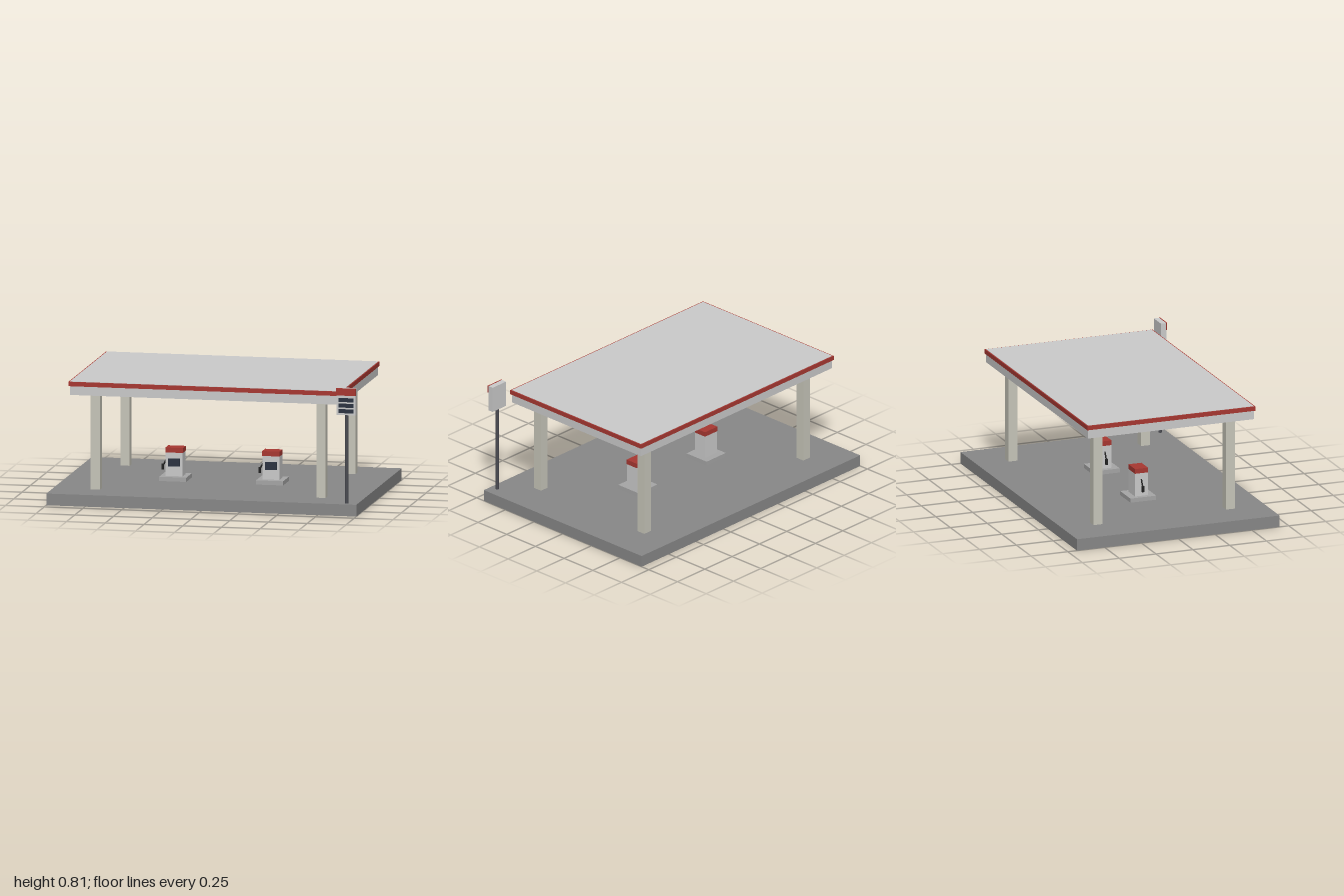
import * as THREE from 'three';

const mat = (color) => new THREE.MeshStandardMaterial({ color });
const mats = {
  light: mat(0xcccccc),
  column: mat(0xc8c6ba),
  slab: mat(0x888888),
  curb: mat(0xa6a6a6),
  body: mat(0xbcbcbc),
  red: mat(0xa83832),
  dark: mat(0x2c3442),
  pole: mat(0x4a4b52),
  rubber: mat(0x222222),
  lamp: mat(0xe4dca4),
};

// Box given its width, depth, bottom and top heights, and centre in plan
function box(parent, name, material, w, d, y0, y1, x = 0, z = 0) {
  const mesh = new THREE.Mesh(new THREE.BoxGeometry(w, y1 - y0, d), material);
  mesh.position.set(x, (y0 + y1) / 2, z);
  mesh.name = name;
  parent.add(mesh);
  return mesh;
}

// Fuel pump with the screen in front and the nozzle on its right side
function fuelPump(x) {
  const pump = new THREE.Group();
  pump.name = 'fuelPump';
  pump.position.x = x;
  box(pump, 'pumpCurb', mats.curb, 0.175, 0.175, 0.075, 0.102);
  box(pump, 'pumpBody', mats.body, 0.11, 0.0875, 0.102, 0.252);
  box(pump, 'pumpCap', mats.red, 0.113, 0.0885, 0.252, 0.283);
  box(pump, 'pumpScreen', mats.dark, 0.075, 0.01, 0.165, 0.215, 0, 0.0475);

  const hosePath = new THREE.LineCurve3(
    new THREE.Vector3(-0.053, 0.212, 0), new THREE.Vector3(-0.084, 0.155, 0));
  const hose = new THREE.Mesh(new THREE.TubeGeometry(hosePath, 1, 0.005, 8), mats.rubber);
  hose.name = 'hose';
  pump.add(hose);
  box(pump, 'nozzle', mats.rubber, 0.013, 0.016, 0.135, 0.172, -0.083);
  return pump;
}

// Price sign on a pole
function priceSign() {
  const sign = new THREE.Group();
  sign.name = 'priceSign';
  sign.position.set(0.928, 0, 0.64);
  const pole = new THREE.Mesh(new THREE.CylinderGeometry(0.0115, 0.0115, 0.57, 12), mats.pole);
  pole.position.y = 0.36;
  pole.name = 'signPole';
  sign.add(pole);
  box(sign, 'signPanel', mats.light, 0.122, 0.0375, 0.642, 0.812);
  box(sign, 'signHeader', mats.red, 0.125, 0.006, 0.767, 0.8135, 0, 0.02);
  for (let i = 0; i < 3; i++) {
    const y = 0.655 + i * 0.0355;
    box(sign, 'pricePanel', mats.dark, 0.098, 0.006, y, y + 0.025, 0, 0.0205);
  }
  return sign;
}

export function createModel() {
  const station = new THREE.Group();
  station.name = 'fuelStation';

  box(station, 'groundSlab', mats.slab, 2, 1.375, 0, 0.075);

  // Canopy with its coloured fascia just below the roof surface
  box(station, 'canopy', mats.light, 1.75, 1.125, 0.69, 0.777);
  box(station, 'canopyFascia', mats.red, 1.765, 1.14, 0.747, 0.775);

  for (const x of [-0.728, 0.728])
    for (const z of [-0.45, 0.45])
      box(station, 'column', mats.column, 0.06, 0.06, 0.075, 0.69, x, z);

  for (const x of [-0.5625, 0, 0.5625])
    box(station, 'ceilingLight', mats.lamp, 0.125, 0.0375, 0.682, 0.692, x);

  for (const x of [-0.3125, 0.3125]) station.add(fuelPump(x));
  station.add(priceSign());
  return station;
}
